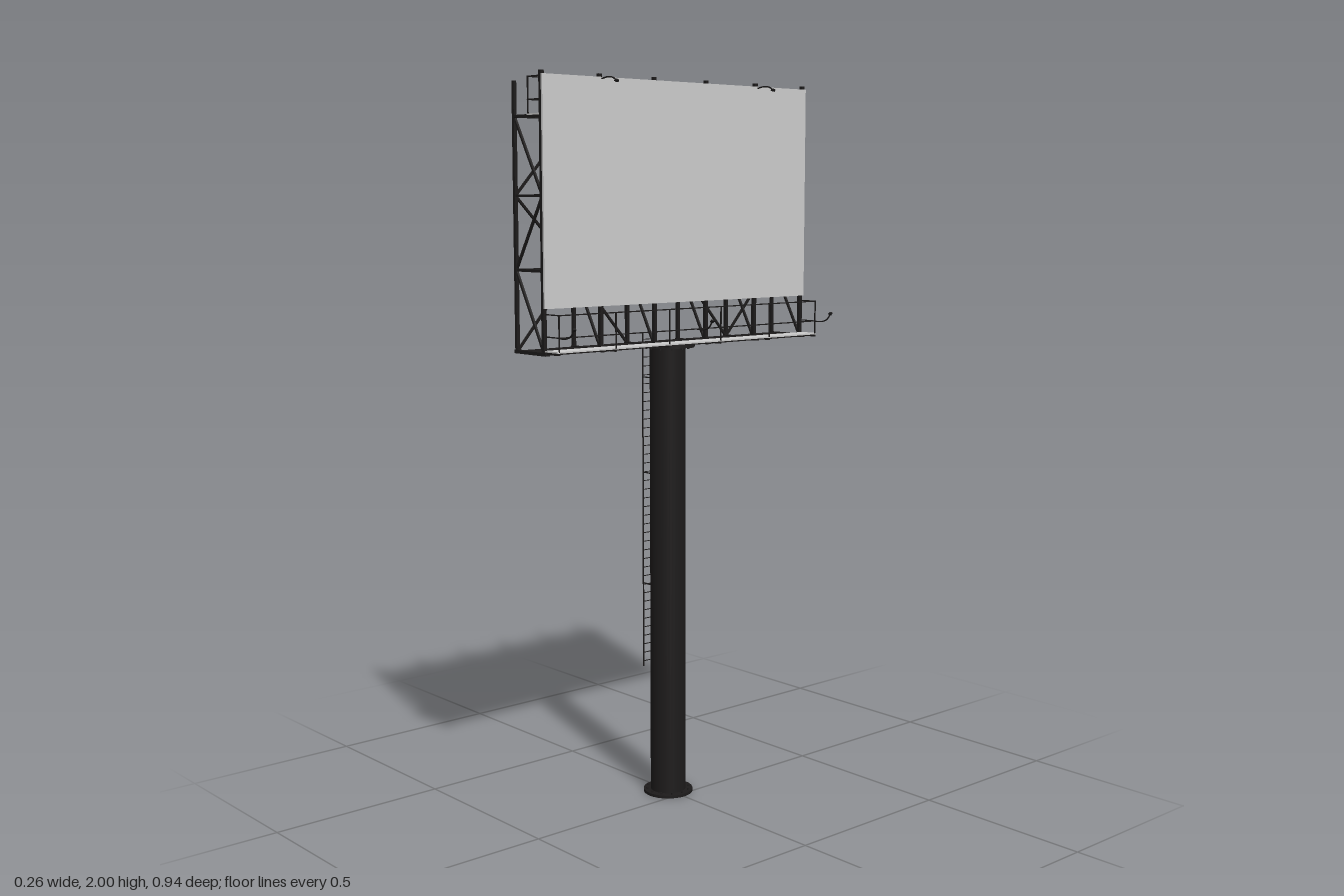
import * as THREE from 'three';

const steel = new THREE.MeshStandardMaterial({ color: 0x1d1b1b });
const grey = new THREE.MeshStandardMaterial({ color: 0xcccccc });
const V = (x, y, z) => new THREE.Vector3(x, y, z);

const POLE_X = -0.05, BACK = -0.113, FRONT = 0.003, BASE = 1.29;
const FRAMES = [0.463, 0.278, 0.093, -0.093, -0.278, -0.463];
const LEVELS = [BASE, 1.5, 1.69, 1.89];

function add(parent, name, geometry, x, y, z, material = steel) {
  const mesh = new THREE.Mesh(geometry, material);
  mesh.name = name;
  mesh.position.set(x, y, z);
  parent.add(mesh);
  return mesh;
}

function box(parent, name, w, h, d, x, y, z, material) {
  return add(parent, name, new THREE.BoxGeometry(w, h, d), x, y, z, material);
}

// Square bar between two points
function bar(parent, name, a, b, t) {
  const dir = b.clone().sub(a), mid = a.clone().add(b).multiplyScalar(0.5);
  const mesh = box(parent, name, t, dir.length(), t, mid.x, mid.y, mid.z);
  mesh.quaternion.setFromUnitVectors(V(0, 1, 0), dir.normalize());
  return mesh;
}

function group(parent, name) {
  const g = new THREE.Group();
  g.name = name;
  parent.add(g);
  return g;
}

// Column with bolted flanges
function buildColumn(root) {
  const g = group(root, 'column');
  add(g, 'pole', new THREE.CylinderGeometry(0.05, 0.05, 1.28, 32), POLE_X, 0.64, 0);
  add(g, 'baseFlange', new THREE.CylinderGeometry(0.07, 0.07, 0.008, 32), POLE_X, 0.004, 0);
  const head = add(g, 'headPlate', new THREE.CylinderGeometry(0.08, 0.08, 0.01, 8), POLE_X, 1.284, 0);
  head.rotation.y = Math.PI / 8;
  for (let i = 0; i < 12; i++) {
    const a = i * Math.PI / 6, x = POLE_X + Math.cos(a) * 0.06, z = Math.sin(a) * 0.06;
    add(g, 'bolt', new THREE.CylinderGeometry(0.003, 0.003, 0.006, 6), x, 0.01, z);
    add(g, 'bolt', new THREE.CylinderGeometry(0.003, 0.003, 0.006, 6), x, 1.277, z);
  }
}

// Access ladder behind the pole
function buildLadder(root) {
  const g = group(root, 'ladder'), x = -0.131;
  for (const z of [-0.022, 0.022]) {
    bar(g, 'ladderRail', V(x, 0.355, z), V(x, 1.315, z), 0.003);
    for (const y of [0.6, 0.92, 1.19]) bar(g, 'ladderBracket', V(x, y, z), V(-0.09, y, z), 0.003);
  }
  for (let y = 0.37; y < 1.31; y += 0.025) bar(g, 'rung', V(x, y, -0.022), V(x, y, 0.022), 0.002);
}

// Six braced frames tied together along the back
function buildTruss(root) {
  const g = group(root, 'truss');
  box(g, 'platform', 0.122, 0.006, 0.936, -0.054, 1.288, 0);
  FRAMES.forEach((z) => {
    bar(g, 'frontPost', V(FRONT, 1.284, z), V(FRONT, 2, z), 0.01);
    bar(g, 'backPost', V(BACK, 1.284, z), V(BACK, 1.98, z), 0.009);
    box(g, 'footBeam', 0.135, 0.009, 0.014, -0.05, 1.289, z);
    LEVELS.forEach((y, k) => {
      if (k) bar(g, 'crossTie', V(BACK, y, z), V(FRONT, y, z), 0.007);
      if (k < 3) {
        const [from, to] = k % 2 ? [BACK, FRONT] : [FRONT, BACK];
        bar(g, 'frameBrace', V(from, y, z), V(to, LEVELS[k + 1], z), 0.006);
      }
    });
  });
  // Zigzag bracing from frame to frame
  for (let k = 0; k < 3; k++) {
    for (let i = 0; i < 5; i++) {
      if (k === 0 && i === 2) continue;
      const up = (i + k) % 2 === 0;
      const y0 = up ? LEVELS[k] : LEVELS[k + 1], y1 = up ? LEVELS[k + 1] : LEVELS[k];
      bar(g, 'backBrace', V(BACK, y0, FRAMES[i]), V(BACK, y1, FRAMES[i + 1]), 0.006);
    }
    const y = LEVELS[k + 1];
    bar(g, 'backTie', V(BACK, y, -0.463), V(BACK, y, 0.463), 0.006);
    bar(g, 'frontTie', V(FRONT, y, -0.463), V(FRONT, y, 0.463), 0.006);
  }
}

// Walkway from xIn out to xOut, with a two-line railing
function buildWalkway(root, name, xIn, xOut, y) {
  const g = group(root, name);
  box(g, 'walkwayFloor', Math.abs(xOut - xIn), 0.004, 0.936, (xIn + xOut) / 2, y, 0, grey);
  for (const z of FRAMES) {
    bar(g, 'railPost', V(xOut, y, z), V(xOut, y + 0.095, z), 0.003);
    bar(g, 'floorBracket', V(xIn, y - 0.005, z), V(xOut, y - 0.005, z), 0.006);
  }
  for (const h of [0.037, 0.094]) {
    bar(g, 'rail', V(xOut, y + h, -0.465), V(xOut, y + h, 0.465), 0.003);
    for (const z of [-0.463, 0.463]) bar(g, 'endRail', V(xIn, y + h, z), V(xOut, y + h, z), 0.003);
  }
}

// Flood lamp on a curved arm
function buildLamp(root, name, points, z, tilt) {
  const g = group(root, name);
  const path = new THREE.CatmullRomCurve3(points.map(([x, y]) => V(x, y, z)));
  add(g, 'lampArm', new THREE.TubeGeometry(path, 12, 0.002, 6), 0, 0, 0);
  const [x, y] = points[points.length - 1];
  box(g, 'lampHead', 0.008, 0.006, 0.009, x, y, z).rotation.z = tilt;
}

export function createModel() {
  const root = new THREE.Group();
  root.name = 'billboard';
  buildColumn(root);
  buildLadder(root);
  buildTruss(root);

  // Display panel
  box(root, 'displayPanel', 0.006, 0.586, 0.936, 0.011, 1.698, 0, grey);

  buildWalkway(root, 'lowerWalkway', 0.012, 0.066, 1.297);
  buildWalkway(root, 'upperWalkway', -0.001, -0.054, 1.893);

  for (const z of [-0.463, -0.005, 0.463]) {
    buildLamp(root, 'lowerLamp', [[0.066, 1.333], [0.095, 1.334], [0.115, 1.342], [0.127, 1.358]], z, 0.8);
  }
  for (const z of [-0.278, 0.278]) {
    buildLamp(root, 'upperLamp', [[0.003, 1.985], [0.04, 1.99], [0.06, 1.987], [0.074, 1.979]], z, -0.5);
  }
  return root;
}
